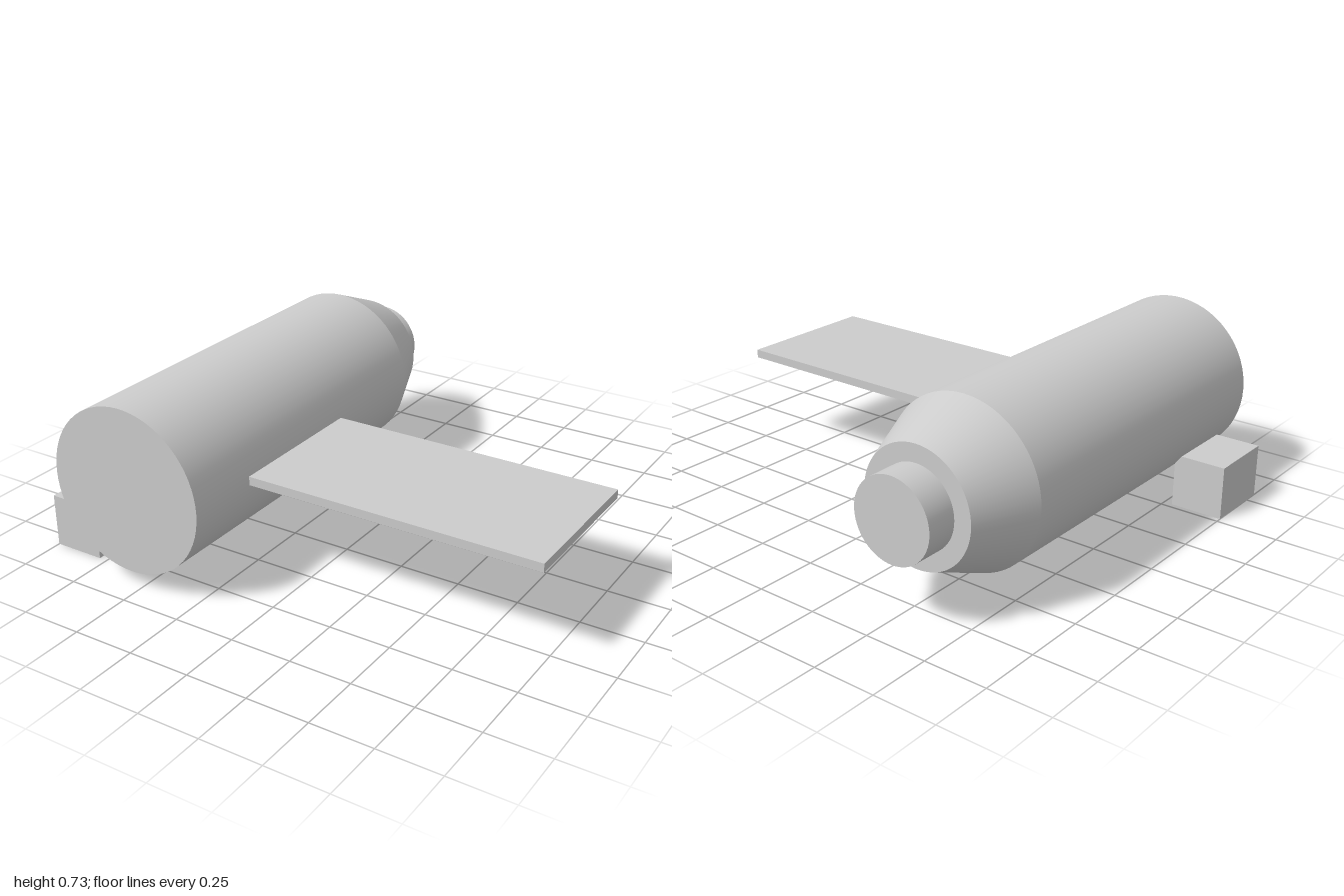
import * as THREE from 'three';

const material = new THREE.MeshStandardMaterial({ color: 0xcccccc });
const AXIS_X = -0.535, AXIS_Y = 0.4;

// Round section along z, from its front end to its back end
function roundSection(name, frontZ, backZ, frontRadius, backRadius) {
  const geometry = new THREE.CylinderGeometry(frontRadius, backRadius, frontZ - backZ, 64);
  geometry.rotateX(Math.PI / 2);
  const mesh = new THREE.Mesh(geometry, material);
  mesh.name = name;
  mesh.position.set(AXIS_X, AXIS_Y, (frontZ + backZ) / 2);
  return mesh;
}

// Box given by its low and high corners
function block(name, low, high) {
  const [w, h, d] = high.map((v, i) => v - low[i]);
  const mesh = new THREE.Mesh(new THREE.BoxGeometry(w, h, d), material);
  mesh.name = name;
  mesh.position.set(low[0] + w / 2, low[1] + h / 2, low[2] + d / 2);
  return mesh;
}

export function createModel() {
  const model = new THREE.Group();
  model.name = 'satellite';

  // Main hull, tapered rear shoulder and rear collar
  model.add(
    roundSection('hull', 0.908, -0.53, 0.333, 0.333),
    roundSection('taperedShoulder', -0.53, -0.78, 0.333, 0.231),
    roundSection('rearCollar', -0.78, -0.908, 0.162, 0.162),
  );

  // Thin side panel and small equipment box on the opposite lower side
  model.add(
    block('sidePanel', [-0.203, 0.382, -0.025], [1, 0.417, 0.596]),
    block('equipmentBox', [-1, 0, 0.525], [-0.785, 0.217, 0.815]),
  );
  return model;
}
